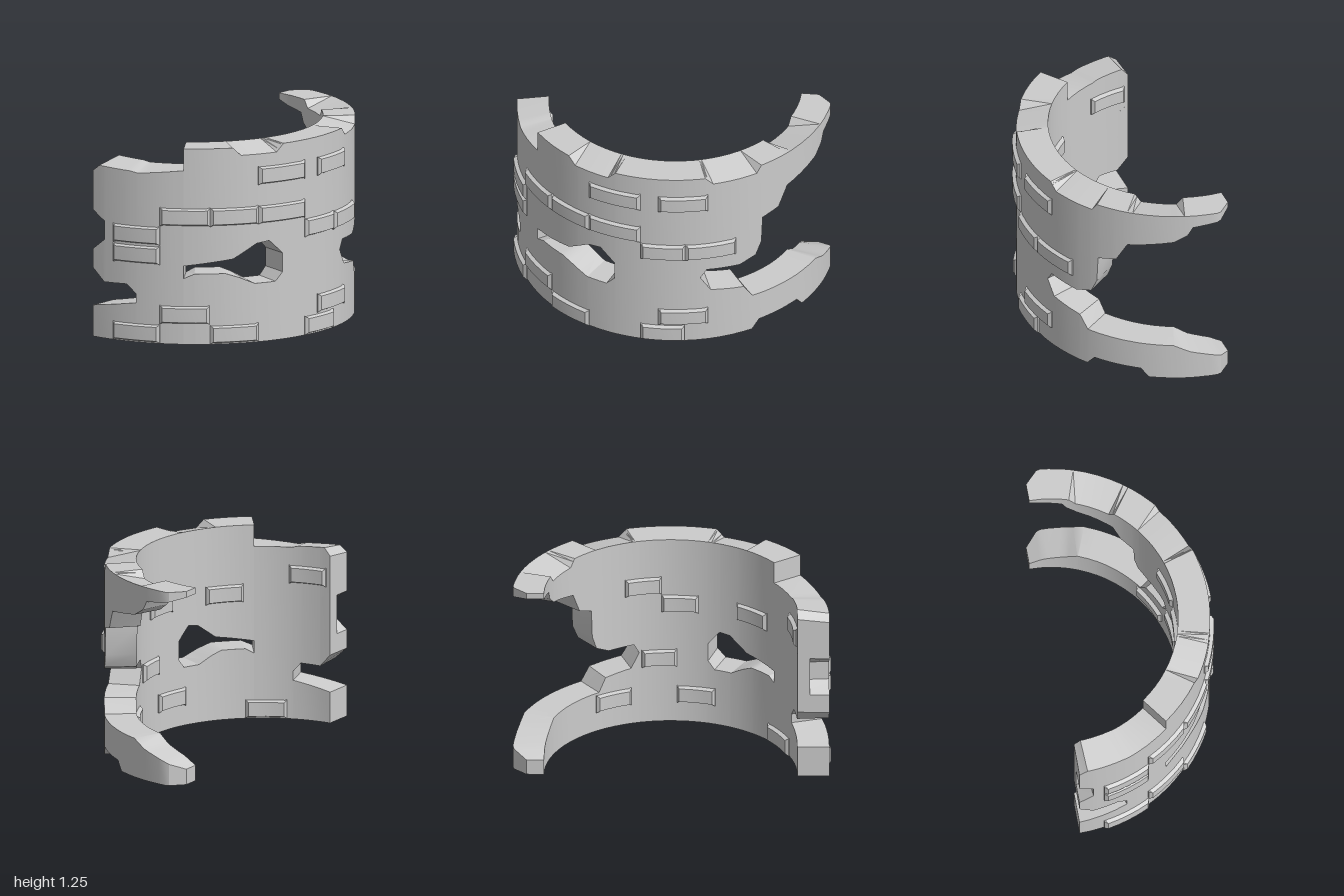
import * as THREE from 'three';
import { toCreasedNormals } from 'three/addons/utils/BufferGeometryUtils.js';

const CX = -0.51;      // axis of the ring wall
const R_IN = 0.79, R_OUT = 0.99;
const material = new THREE.MeshStandardMaterial({ color: 0xcccccc });

// Loft four-cornered sections around the axis; section = { a: degrees, c: [[radius, y] x 4] }
function loft(name, sections) {
  const pos = [];
  const rings = sections.map(({ a, c }) => {
    const t = THREE.MathUtils.degToRad(a);
    return c.map(([r, y]) => [CX + r * Math.cos(t), y, r * Math.sin(t)]);
  });
  const quad = (a, b, c, d) => pos.push(...a, ...b, ...c, ...a, ...c, ...d);
  for (let k = 0; k < rings.length - 1; k++) {
    const p = rings[k], q = rings[k + 1];
    for (let i = 0; i < 4; i++) {
      const j = (i + 1) % 4;
      quad(p[i], p[j], q[j], q[i]);
    }
  }
  const s = rings[0], e = rings[rings.length - 1];
  quad(s[3], s[2], s[1], s[0]);
  quad(e[0], e[1], e[2], e[3]);
  const geo = new THREE.BufferGeometry();
  geo.setAttribute('position', new THREE.Float32BufferAttribute(pos, 3));
  const mesh = new THREE.Mesh(toCreasedNormals(geo, 0.45), material);
  mesh.name = name;
  return mesh;
}

// Profile point = [degrees, outer y, inner y (same as outer when left out)]
function sample(profile, a) {
  let i = 0;
  while (i < profile.length - 2 && a > profile[i + 1][0]) i++;
  const p = profile[i], q = profile[i + 1];
  const t = THREE.MathUtils.clamp((a - p[0]) / (q[0] - p[0]), 0, 1);
  return [
    THREE.MathUtils.lerp(p[1], q[1], t),
    THREE.MathUtils.lerp(p[2] ?? p[1], q[2] ?? q[1], t),
  ];
}

// Stretch of wall between a bottom and a top profile
function band(name, a0, a1, bottom, top, rOut = R_OUT) {
  const angles = new Set([a0, a1]);
  for (const [a] of [...bottom, ...top]) if (a > a0 && a < a1) angles.add(a);
  for (let a = -85.5; a < a1; a += 4.5) if (a > a0) angles.add(a);
  return loft(name, [...angles].sort((p, q) => p - q).map((a) => {
    const r1 = Math.min(rOut, 0.9 + (90 + a) * 0.018);   // broken back tips taper
    const [bo, bi] = sample(bottom, a), [to, ti] = sample(top, a);
    return { a, c: [[R_IN, bi], [r1, bo], [r1, to], [R_IN, ti]] };
  }));
}

// Bevelled brick standing proud of the outer or inner face
function brick(name, a0, a1, y0, inner) {
  const base = inner ? R_IN + 0.02 : R_OUT - 0.02;
  const skin = inner ? R_IN - 0.008 : R_OUT + 0.008;
  const face = inner ? R_IN - 0.026 : R_OUT + 0.024;
  const y1 = y0 + 0.125, n = 4, bevel = 1.1;
  const section = (a, r, b) => ({
    a,
    c: inner
      ? [[r, y0 + b], [base, y0], [base, y1], [r, y1 - b]]
      : [[base, y0], [r, y0 + b], [r, y1 - b], [base, y1]],
  });
  const list = [section(a0, skin, 0.003)];
  for (let i = 0; i <= n; i++) {
    list.push(section(a0 + bevel + (a1 - a0 - 2 * bevel) * i / n, face, 0.018));
  }
  list.push(section(a1, skin, 0.003));
  return loft(name, list);
}

export function createModel() {
  const model = new THREE.Group();
  model.name = 'ruinedRoundWall';
  const wall = new THREE.Group();
  wall.name = 'wall';
  model.add(wall);

  // Foot of the wall, with a chipped outer edge at the back
  const foot = [[-90, 0], [-59, 0], [-56, 0.06, 0], [-38, 0.06, 0], [-35, 0], [90, 0]];
  // Top edge with chips on its inner and outer rims
  const crown = [
    [-90, 1.25], [-72, 1.25], [-69, 1.25, 1.2], [-53, 1.25, 1.2], [-50, 1.25],
    [-39, 1.25], [-37, 1.2, 1.25], [-20, 1.2, 1.25], [-17, 1.25],
    [16, 1.25], [19, 1.2, 1.25], [33, 1.2, 1.25], [36, 1.25], [54, 1.25],
  ];
  // Lower, broken top near the front end
  const frontCrown = [[54, 1.11], [71, 1.08, 1.11], [74, 1.09, 1.12], [87, 1.1, 1.13], [90, 1.06, 1.08]];

  // Big breach at the back
  const breachTop = [
    [-90, 1.21], [-84, 1.18], [-75, 1.16], [-73, 1.1], [-68, 1.05], [-51, 1.0], [-46.7, 0.87],
    [-39.5, 0.84], [-39, 0.66], [-36.6, 0.57], [-30, 0.53], [-17.6, 0.54], [-15.2, 0.48],
  ];
  const breachBottom = [
    [-90, 0.1], [-84, 0.15], [-74, 0.2], [-68, 0.25], [-35.2, 0.26],
    [-31.7, 0.35], [-19, 0.38], [-15.2, 0.48],
  ];
  wall.add(band('upperBackWall', -90, -15.2, breachTop, crown));
  wall.add(band('lowerBackWall', -90, -15.2, foot, breachBottom));
  wall.add(band('middleWall', -15.2, 16.4, foot, crown));

  // Ragged window
  const windowTop = [[16.4, 0.55], [22, 0.64], [27, 0.63], [32, 0.58], [36, 0.54], [54, 0.5]];
  const windowBottom = [[16.4, 0.43], [19.5, 0.375], [27.7, 0.375], [33.7, 0.42], [38.8, 0.45], [50, 0.45], [54, 0.42]];
  wall.add(band('wallAboveWindow', 16.4, 54, windowTop, crown));
  wall.add(band('wallBelowWindow', 16.4, 54, foot, windowBottom));
  wall.add(band('frontWall', 54, 71.8, foot, frontCrown));

  // Front end: slot near the foot and a bite out of the outer edge
  const slotTop = [[71.8, 0.31], [75.4, 0.365], [84.8, 0.36], [90, 0.44]];
  const slotBottom = [[71.8, 0.25], [90, 0.2]];
  wall.add(band('frontEndFoot', 71.8, 90, foot, slotBottom));
  wall.add(band('frontEndWall', 71.8, 84.8, slotTop, frontCrown));
  wall.add(band('frontEndLowerEdge', 84.8, 90, slotTop, [[84.8, 0.63], [90, 0.56]]));
  wall.add(band('frontEndUpperEdge', 84.8, 90, [[84.8, 0.75], [90, 0.81]], frontCrown));
  wall.add(band('frontEndBite', 84.8, 90, [[84.8, 0.56], [90, 0.5]], [[84.8, 0.8], [90, 0.85]], 0.87));

  // Raised bricks: [start angle, end angle, bottom y]
  const outerBricks = [
    [62.6, 80.8, 0.625], [62.6, 80.8, 0.5], [44.4, 62.6, 0.75], [26.5, 44.4, 0.75], [6.5, 26.5, 0.75],
    [-9.7, 6.5, 0.625], [-28.5, -9.7, 0.625], [6.5, 26.5, 1.0], [-18, 0, 1.0],
    [44.6, 62.6, 0.125], [62.6, 80.8, 0], [26.5, 44.4, 0], [-18, 0, 0.125], [-9.5, 6.5, 0],
  ];
  const innerBricks = [
    [70, 88, 0.875], [31, 49, 0.75], [50, 69, 0], [2, 20, 0.125],
    [-14, 2, 0.375], [-5, 12, 0.75], [-22, -5, 0.875], [-37, -19, 0.125],
  ];
  for (const [list, inner, name] of [[outerBricks, false, 'outerBrick'], [innerBricks, true, 'innerBrick']]) {
    const group = new THREE.Group();
    group.name = name + 's';
    for (const [a0, a1, y] of list) group.add(brick(name, a0, a1, y, inner));
    model.add(group);
  }
  return model;
}
